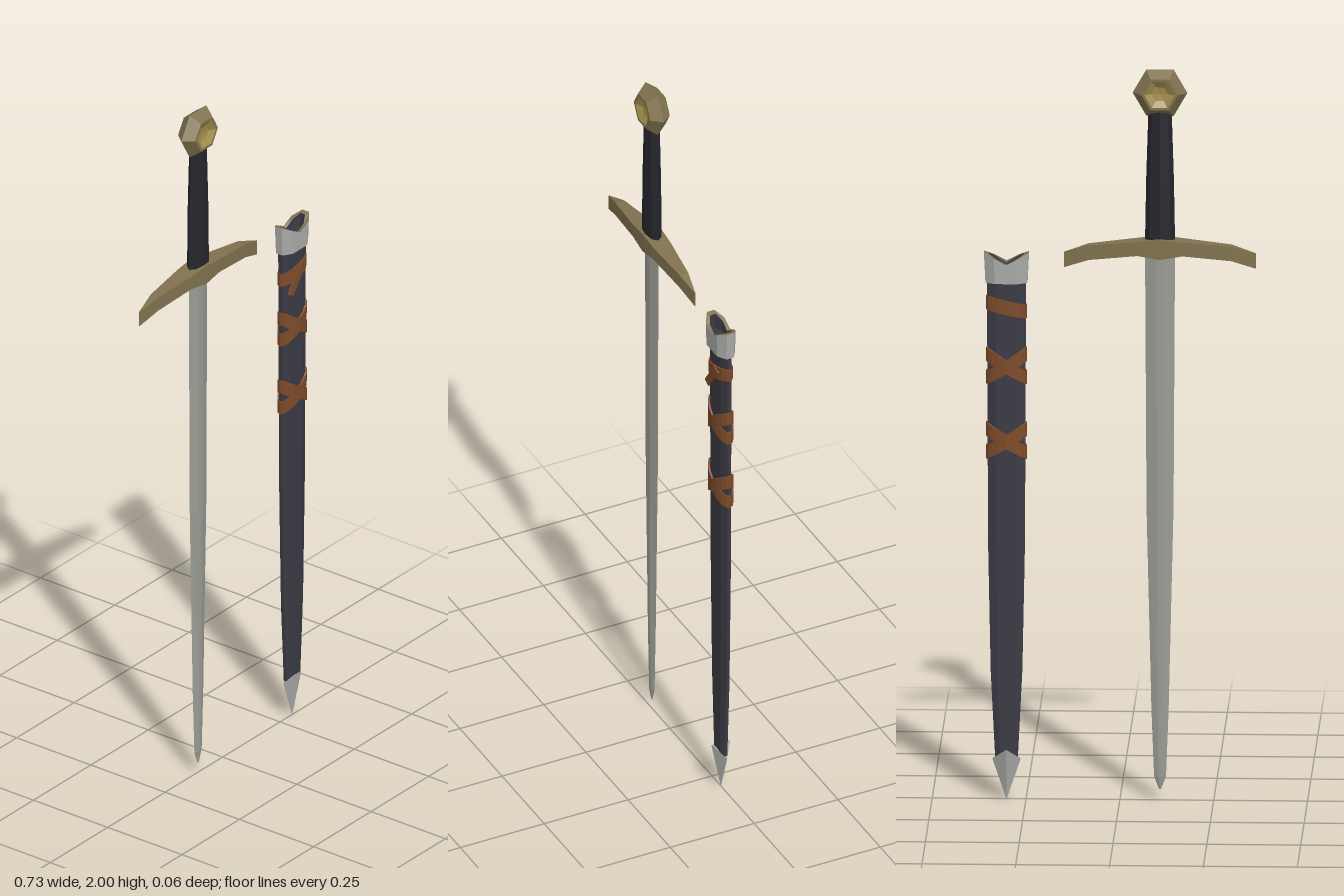
import * as THREE from 'three';

const mat = (name, color) => Object.assign(new THREE.MeshStandardMaterial({ color }), { name });

// Faceted skin through rings of [x, y, z] points, optionally closed at both ends
function loft(rings, capped = true) {
  const pos = [];
  const tri = (a, b, c) => pos.push(...a, ...b, ...c);
  const n = rings[0].length;
  for (let i = 0; i < rings.length - 1; i++) {
    for (let j = 0; j < n; j++) {
      const k = (j + 1) % n;
      const a = rings[i][j], b = rings[i][k], c = rings[i + 1][k], d = rings[i + 1][j];
      tri(a, d, c);
      tri(a, c, b);
    }
  }
  if (capped) {
    const first = rings[0], last = rings[rings.length - 1];
    for (let j = 1; j < n - 1; j++) {
      tri(first[0], first[j], first[j + 1]);
      tri(last[0], last[j + 1], last[j]);
    }
  }
  const g = new THREE.BufferGeometry();
  g.setAttribute('position', new THREE.Float32BufferAttribute(pos, 3));
  g.computeVertexNormals();
  return g;
}

// Regular outline of unit radius
const polygon = (n) => Array.from({ length: n }, (_, i) => {
  const a = (i / n) * Math.PI * 2;
  return [Math.cos(a), Math.sin(a)];
});

// Horizontal ring: outline scaled to half width w and half depth d; rise(u, v) shifts its height
const level = (outline, y, w, d, rise = () => 0) =>
  outline.map(([u, v]) => [u * w, y + rise(u, v), v * d]);

const SHEATH = [[1, 0.4], [0.55, 1], [0, 1], [-0.55, 1], [-1, 0.4],
  [-1, -0.4], [-0.55, -1], [0, -1], [0.55, -1], [1, -0.4]];

export function createModel() {
  const steel = mat('blade steel', 0x9a9b94);
  const silver = mat('silver fittings', 0xa9aba8);
  const bronze = mat('bronze', 0x80724f);
  const gold = mat('gold', 0xa08e4c);
  const gripLeather = mat('grip leather', 0x25252d);
  const sheathLeather = mat('scabbard leather', 0x3a3943);
  const strapLeather = mat('strap leather', 0x7d4a28);

  const model = new THREE.Group();
  const add = (parent, name, geometry, material) => {
    const m = new THREE.Mesh(geometry, material);
    m.name = name;
    parent.add(m);
    return m;
  };

  // ---- Sword ----
  const sword = new THREE.Group();
  sword.name = 'sword';
  sword.position.x = -0.107;
  model.add(sword);

  // Blade: flattened section with two sharp edges and a narrow central flat
  const bladeRing = (y, w, f, d) =>
    [[w, 0], [f, d], [-f, d], [-w, 0], [-f, -d], [f, -d]].map(([x, z]) => [x, y, z]);
  add(sword, 'blade', loft([
    bladeRing(0.03, 0.003, 0.001, 0.001),
    bladeRing(0.065, 0.016, 0.004, 0.006),
    bladeRing(0.25, 0.023, 0.006, 0.008),
    bladeRing(0.8, 0.036, 0.008, 0.01),
    bladeRing(1.51, 0.04, 0.009, 0.011),
  ]), steel);

  // Crossguard: [offset, top, bottom, half depth], drooping to sharp ends
  const half = [[0, 1.54, 1.485, 0.028], [0.06, 1.533, 1.495, 0.026],
    [0.19, 1.52, 1.48, 0.013], [0.256, 1.499, 1.457, 0.001]];
  const guard = [...half.slice(1).reverse().map(([x, ...r]) => [-x, ...r]), ...half];
  add(sword, 'crossguard', loft(guard.map(([x, t, b, d]) =>
    [[x, b, d], [x, t, d], [x, t, -d], [x, b, -d]])), bronze);

  // Grip
  const octagon = polygon(8);
  add(sword, 'grip', loft([
    level(octagon, 1.53, 0.04, 0.021),
    level(octagon, 1.7, 0.037, 0.021),
    level(octagon, 1.89, 0.031, 0.018),
  ]), gripLeather);

  // Pommel: bevelled hexagonal wheel with a sunken dish on both faces
  const facing = (r, z) => polygon(6).map(([u, v]) => [u * r, 1.937 - v * r, z]);
  add(sword, 'pommel', loft([
    facing(0.041, -0.029), facing(0.049, -0.029), facing(0.073, 0),
    facing(0.049, 0.029), facing(0.041, 0.029),
  ], false), bronze);
  for (const [name, turn] of [['pommelDishFront', 0], ['pommelDishBack', Math.PI]]) {
    const dish = loft([facing(0.041, 0.029), facing(0.022, 0.018), facing(0.0005, 0.015)], false);
    add(sword, name, dish, gold).rotation.y = turn;
  }

  // ---- Scabbard ----
  const scabbard = new THREE.Group();
  scabbard.name = 'scabbard';
  scabbard.position.x = 0.302;
  model.add(scabbard);

  add(scabbard, 'sheath', loft([
    level(SHEATH, 0.11, 0.03, 0.011),
    level(SHEATH, 0.35, 0.042, 0.012),
    level(SHEATH, 0.7, 0.049, 0.013),
    level(SHEATH, 1.45, 0.052, 0.016),
  ]), sheathLeather);

  // Throat fitting with a dipped mouth
  const dip = (u) => -0.03 * (1 - Math.abs(u));
  const mouth = level(SHEATH, 1.498, 0.06, 0.028, dip);
  const lip = level(SHEATH, 1.494, 0.047, 0.019, dip);
  add(scabbard, 'throat', loft([
    level(SHEATH, 1.415, 0.05, 0.015), level(SHEATH, 1.415, 0.056, 0.027), mouth,
  ], false), silver);
  add(scabbard, 'throatRim', loft([mouth, lip], false), bronze);
  add(scabbard, 'throatLining', loft([lip, level(SHEATH, 1.44, 0.046, 0.016)], false), sheathLeather);

  // Chape: four-sided spear point peaking at front and back
  const diamond = polygon(4);
  add(scabbard, 'chape', loft([
    level(diamond, 0, 0.0005, 0.0005),
    level(diamond, 0.11, 0.038, 0.028, (u, v) => 0.03 * Math.abs(v)),
    level(diamond, 0.115, 0.026, 0.01, (u, v) => 0.01 * Math.abs(v)),
  ]), silver);

  // Straps: tilted leather loops, crossing in pairs at front and back
  const round = polygon(16);
  const strap = (name, y, tilt, h, w = 0.055, d = 0.027) => {
    const rise = (u) => tilt * u;
    const t = 0.005;
    add(scabbard, name, loft([
      level(round, y - h, w - t, d - t, rise), level(round, y - h, w, d, rise),
      level(round, y + h, w, d, rise), level(round, y + h, w - t, d - t, rise),
      level(round, y - h, w - t, d - t, rise),
    ], false), strapLeather);
  };
  for (const [name, y] of [['middle', 1.187], ['lower', 0.982]]) {
    strap(name + 'StrapRising', y, 0.032, 0.019);
    strap(name + 'StrapFalling', y, -0.032, 0.019);
  }
  strap('upperStrap', 1.348, 0.012, 0.019, 0.055, 0.023);

  // Loose strap end hanging across the front
  const tail = new THREE.Shape([[0.03, 1.36], [0.008, 1.37], [-0.045, 1.295], [-0.025, 1.285]]
    .map(([x, y]) => new THREE.Vector2(x, y)));
  const tailGeometry = new THREE.ExtrudeGeometry(tail, { depth: 0.006, bevelEnabled: false });
  add(scabbard, 'strapTail', tailGeometry.translate(0, 0, 0.019), strapLeather);

  return model;
}
